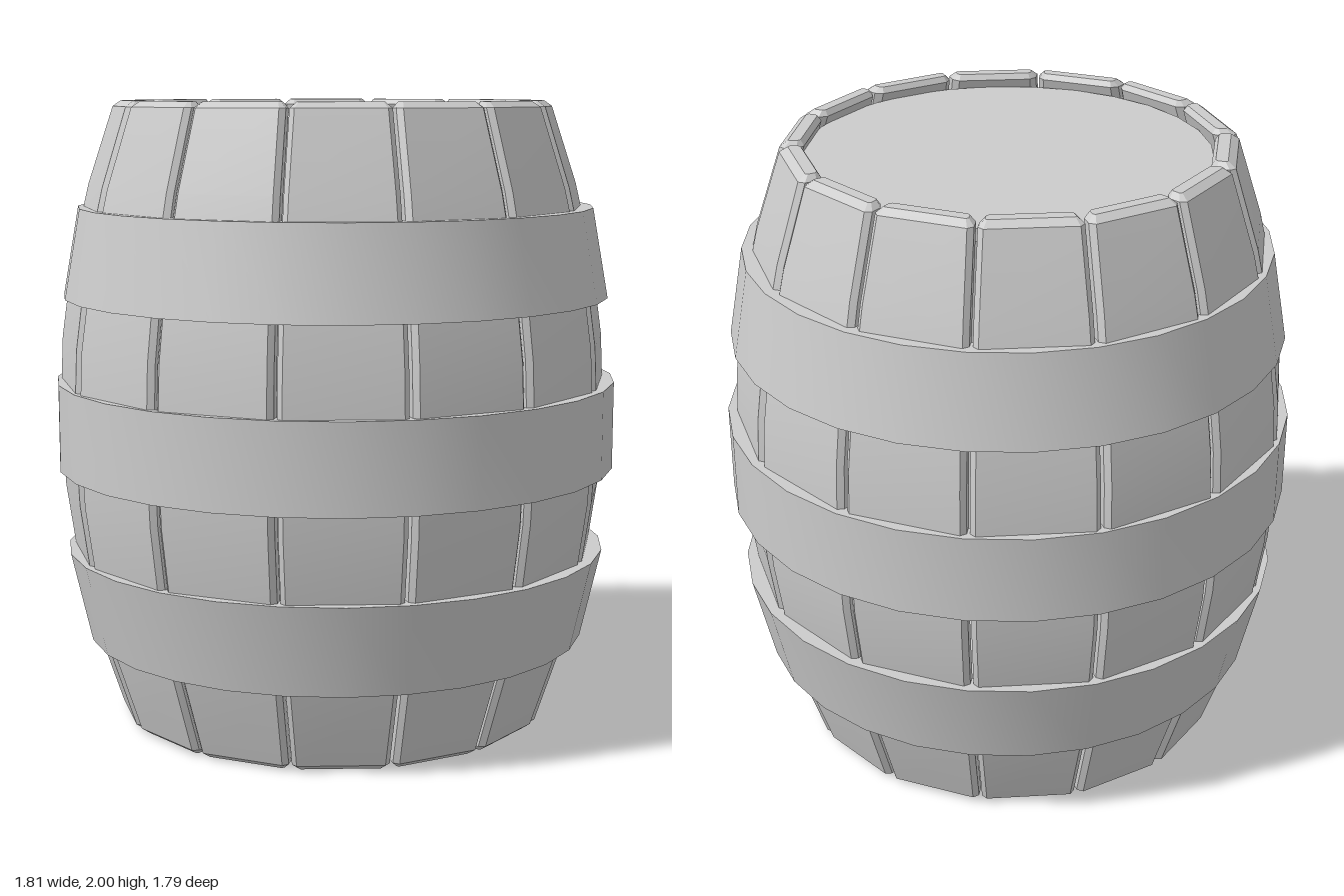
import * as THREE from 'three';
import { toCreasedNormals } from 'three/addons/utils/BufferGeometryUtils.js';

const STAVES = 14;
const THICKNESS = 0.073;
const BEVEL = 0.018;
const HALF_GAP = 0.005;

// Bulging barrel profile: distance from the axis to a stave's outer face
const staveRadius = (y) => 0.872 - 0.189 * (y - 1) ** 2;

// Bevelled cross-section of one stave at height y, shrunk by inset
function staveSection(y, inset) {
  const outer = staveRadius(y) - inset;
  const inner = staveRadius(y) - THICKNESS + inset;
  const half = (r) => r * Math.tan(Math.PI / STAVES) - HALF_GAP - inset;
  const b = inset > 0 ? BEVEL * 0.4 : BEVEL;
  const side = [
    [half(outer) - b, outer],
    [half(outer - b), outer - b],
    [half(inner + b), inner + b],
    [half(inner) - b, inner],
  ];
  const mirrored = side.map(([x, z]) => [-x, z]).reverse();
  return [...side, ...mirrored].map(([x, z]) => [x, y, z]);
}

// Stave lofted through its cross-sections, with bevelled ends
function staveGeometry() {
  const rows = [staveSection(0, BEVEL)];
  const steps = 8;
  for (let i = 0; i <= steps; i++) {
    rows.push(staveSection(BEVEL + (2 - 2 * BEVEL) * (i / steps), 0));
  }
  rows.push(staveSection(2, BEVEL));

  const n = rows[0].length;
  const index = [];
  for (let r = 0; r < rows.length - 1; r++) {
    for (let j = 0; j < n; j++) {
      const k = (j + 1) % n;
      const a = r * n, b = a + n;
      index.push(a + j, a + k, b + k, a + j, b + k, b + j);
    }
  }
  const top = (rows.length - 1) * n;
  for (let j = 1; j < n - 1; j++) {
    index.push(0, j + 1, j, top, top + j, top + j + 1);
  }
  const geometry = new THREE.BufferGeometry();
  geometry.setAttribute('position', new THREE.Float32BufferAttribute(rows.flat(2), 3));
  geometry.setIndex(index);
  return toCreasedNormals(geometry, 0.5);
}

// Solid band around the staves
function hoopGeometry(y0, r0, y1, r1) {
  const inner0 = staveRadius(y0) - 0.03;
  const inner1 = staveRadius(y1) - 0.03;
  const profile = [[inner0, y0], [r0, y0], [r1, y1], [inner1, y1], [inner0, y0]]
    .map(([r, y]) => new THREE.Vector2(r, y));
  return toCreasedNormals(new THREE.LatheGeometry(profile, 28), 0.5);
}

export function createModel() {
  const model = new THREE.Group();
  model.name = 'barrel';
  const grey = new THREE.MeshStandardMaterial({ color: 0xcccccc });
  grey.name = 'light grey';

  const add = (parent, geometry, name) => {
    const mesh = new THREE.Mesh(geometry, grey);
    mesh.name = name;
    parent.add(mesh);
    return mesh;
  };

  // Wooden body: ring of staves
  const body = new THREE.Group();
  body.name = 'staves';
  body.position.x = -0.008;
  const stave = staveGeometry();
  for (let i = 0; i < STAVES; i++) {
    add(body, stave, 'stave').rotation.y = (i / STAVES) * Math.PI * 2;
  }
  model.add(body);

  // Recessed heads at both ends
  const head = new THREE.CylinderGeometry(0.63, 0.63, 0.04, 28);
  add(model, head, 'topHead').position.y = 1.935;
  add(model, head, 'bottomHead').position.y = 0.065;

  // Three hoops
  const hoops = [
    ['lowerHoop', 0.27, 0.808, 0.56, 0.873],
    ['middleHoop', 0.83, 0.9, 1.11, 0.9],
    ['upperHoop', 1.38, 0.874, 1.665, 0.823],
  ];
  for (const [name, ...size] of hoops) {
    add(model, hoopGeometry(...size), name).scale.set(1.007, 1, 0.996);
  }

  return model;
}
